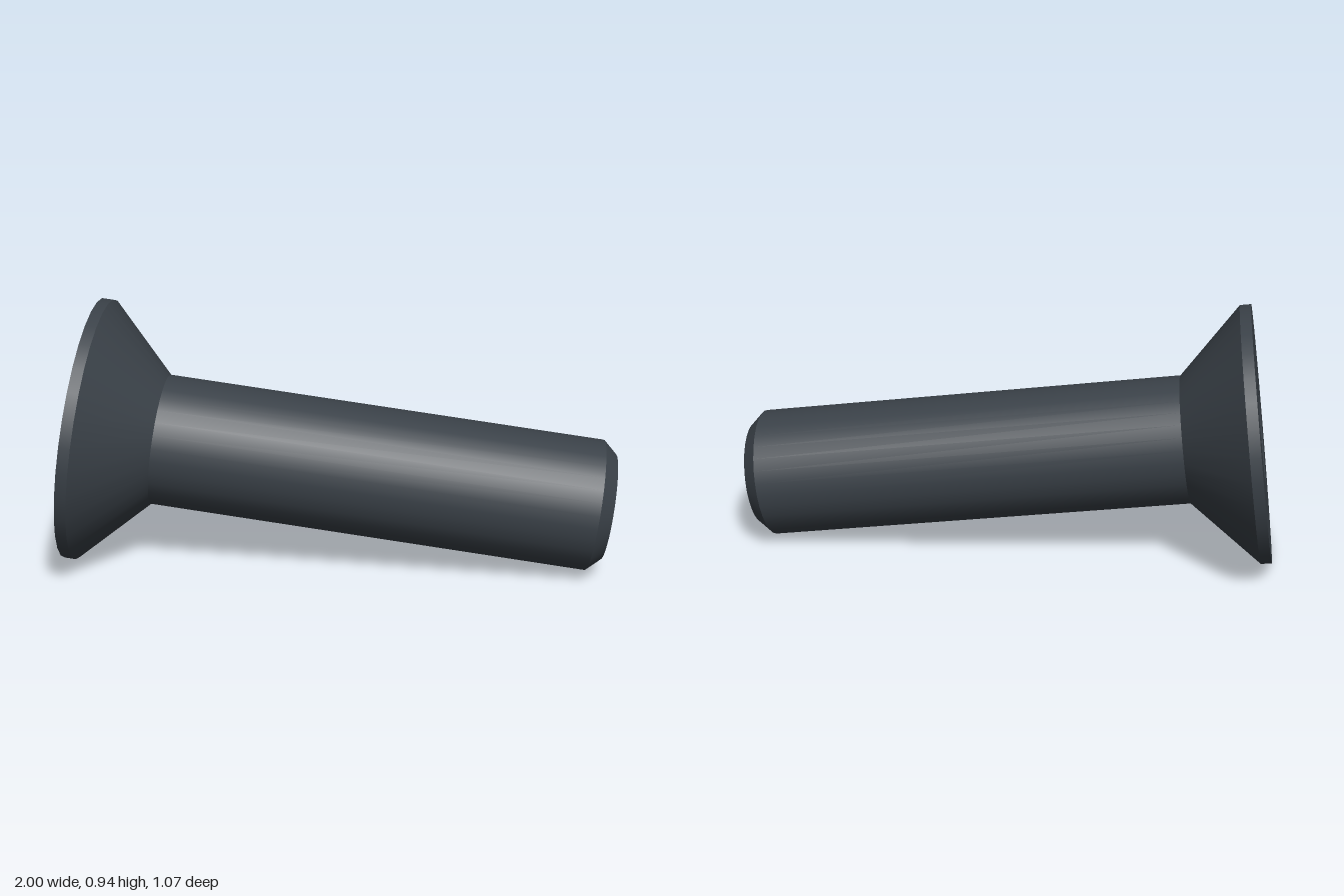
import * as THREE from 'three';

const HEAD_R = 0.473, SHAFT_R = 0.2355, TIP_R = 0.19, SOCKET_R = 0.182;
const RIM = 0.04, NECK = 0.276, CHAMFER = 1.846, LENGTH = 1.896, SOCKET_DEPTH = 0.17;

export function createModel() {
  const steel = new THREE.MeshStandardMaterial({ color: 0x3a4148 });
  steel.name = 'dark steel';
  const screw = new THREE.Group();
  screw.name = 'countersunkScrew';

  const add = (name, geometry) => {
    const mesh = new THREE.Mesh(geometry, steel);
    mesh.name = name;
    screw.add(mesh);
  };

  // Each turned section is its own lathe, so the edges between them stay sharp
  const turned = (name, r0, y0, r1, y1) =>
    add(name, new THREE.LatheGeometry([new THREE.Vector2(r0, y0), new THREE.Vector2(r1, y1)], 32));
  turned('headFace', SOCKET_R - 0.001, 0, HEAD_R, 0);
  turned('headRim', HEAD_R, 0, HEAD_R, RIM);
  turned('headCone', HEAD_R, RIM, SHAFT_R, NECK);
  turned('shaft', SHAFT_R, NECK, SHAFT_R, CHAMFER);
  turned('tipChamfer', SHAFT_R, CHAMFER, TIP_R, LENGTH);
  turned('tipFace', TIP_R, LENGTH, 0, LENGTH);

  // Hexagonal socket: inner rings of a lathe are pulled in to the hexagon,
  // the mouth stays round and leaves a shallow chamfer above each flat
  const rings = [[0, SOCKET_DEPTH], [1, SOCKET_DEPTH], [1, 0], [1, 0]];
  const socket = new THREE.LatheGeometry(
    rings.map(([k, y]) => new THREE.Vector2(k * SOCKET_R, y)), 48);
  const pos = socket.attributes.position;
  const sector = Math.PI / 3;
  for (let i = 0; i < pos.count; i++) {
    const ring = i % rings.length;
    if (ring !== 1 && ring !== 2) continue;
    const angle = Math.floor(i / rings.length) / 48 * Math.PI * 2;
    const r = SOCKET_R * Math.cos(sector / 2) / Math.cos(angle % sector - sector / 2);
    const y = ring === 1 ? SOCKET_DEPTH : (SOCKET_R - r) * 0.6;
    pos.setXYZ(i, r * Math.sin(angle), y, r * Math.cos(angle));
  }
  const facets = socket.toNonIndexed();
  facets.computeVertexNormals();
  add('hexSocket', facets);

  // Lay the screw along its tilted axis, from head to tip
  const axis = new THREE.Vector3(1, -0.133, 0.212).normalize();
  const up = new THREE.Vector3(0, 1, 0).addScaledVector(axis, -axis.y).normalize();
  const side = new THREE.Vector3().crossVectors(axis, up);
  screw.quaternion.setFromRotationMatrix(new THREE.Matrix4().makeBasis(side, axis, up));
  screw.position.set(-0.885, 0.475, -0.074);

  const model = new THREE.Group();
  model.name = 'screwModel';
  model.add(screw);
  return model;
}
